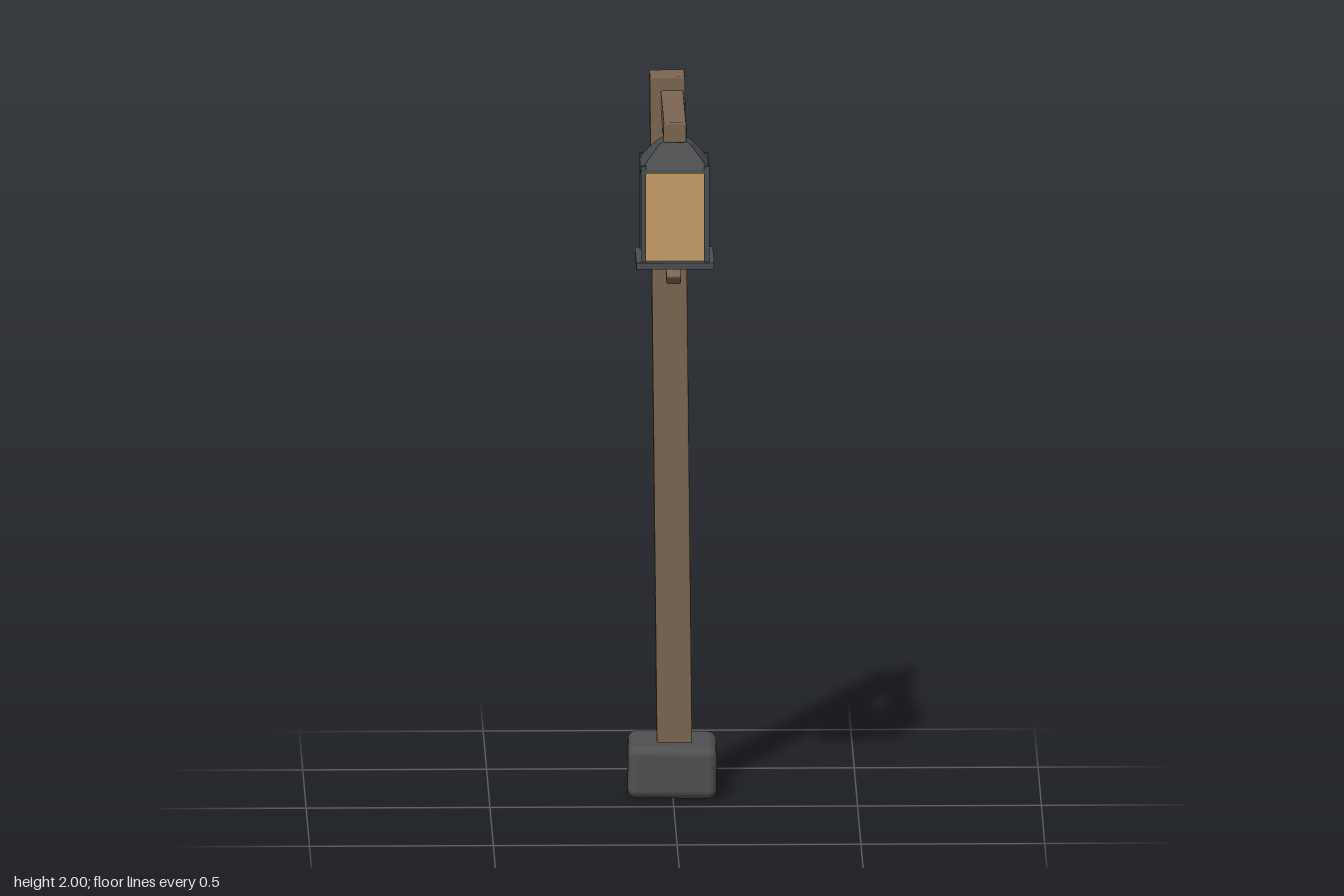
import * as THREE from 'three';
import { RoundedBoxGeometry } from 'three/addons/geometries/RoundedBoxGeometry.js';

const material = (name, color) => {
  const m = new THREE.MeshStandardMaterial({ color });
  m.name = name;
  return m;
};

export function createModel() {
  const wood = material('wood', 0x7b6551);
  const stone = material('stone', 0x505050);
  const metal = material('dark metal', 0x4a4c4e);
  const glass = material('amber glass', 0xc69d66);

  const model = new THREE.Group();
  model.name = 'lampPost';

  const add = (parent, name, geometry, mat, x, y, z) => {
    const mesh = new THREE.Mesh(geometry, mat);
    mesh.name = name;
    mesh.position.set(x, y, z);
    parent.add(mesh);
    return mesh;
  };
  const box = (w, h, d) => new THREE.BoxGeometry(w, h, d);
  const timber = (w, h, d) => new RoundedBoxGeometry(w, h, d, 1, 0.005);

  // Foot stone, slightly crooked
  const foot = add(model, 'footStone', new RoundedBoxGeometry(0.242, 0.144, 0.245, 4, 0.025), stone, -0.001, 0.076, -0.206);
  foot.rotation.set(0.004, -0.012, -0.012);

  // Leaning post
  const post = add(model, 'post', timber(0.096, 1.992, 0.098), wood, -0.004, 1.003, -0.205);
  post.rotation.z = 0.0105;

  // Cross beam through the post
  const beam = add(model, 'beam', timber(0.062, 0.056, 0.553), wood, -0.002, 1.934, 0.007);
  beam.rotation.x = -0.005;

  // Diagonal brace running into the post
  const from = new THREE.Vector3(-0.002, 1.484, 0.092);
  const to = new THREE.Vector3(-0.002, 1.757, -0.18);
  const mid = from.clone().add(to).multiplyScalar(0.5);
  const brace = add(model, 'brace', timber(0.04, 0.038, from.distanceTo(to)), wood, mid.x, mid.y, mid.z);
  brace.rotation.x = Math.atan2(to.y - from.y, from.z - to.z);

  // Lantern hanging from the beam
  const lantern = new THREE.Group();
  lantern.name = 'lantern';
  lantern.position.set(-0.002, 0, 0.223);
  model.add(lantern);

  add(lantern, 'lanternBase', box(0.212, 0.018, 0.212), metal, 0, 1.575, 0);
  add(lantern, 'lanternGlass', box(0.162, 0.25, 0.162), glass, 0, 1.708, 0);
  for (const sx of [-1, 1]) {
    for (const sz of [-1, 1]) {
      add(lantern, 'cornerRod', box(0.014, 0.272, 0.014), metal, sx * 0.086, 1.714, sz * 0.086);
    }
  }

  // Four-sided domed roof: half widths and heights
  const profile = [[0, 1.83], [0.094, 1.83], [0.092, 1.838], [0.07, 1.868], [0.046, 1.896], [0.022, 1.913], [0, 1.918]]
    .map(([r, y]) => new THREE.Vector2(r * Math.SQRT2, y));
  const roof = new THREE.LatheGeometry(profile, 4, Math.PI / 4).toNonIndexed();
  roof.computeVertexNormals();
  add(lantern, 'lanternRoof', roof, metal, 0, 0, 0);

  // Pin that holds the lantern on the beam
  const pin = add(lantern, 'hangingPin', new THREE.CylinderGeometry(0.007, 0.007, 0.068, 6), metal, 0, 1.93, 0);
  pin.rotation.z = Math.PI / 2;

  return model;
}
